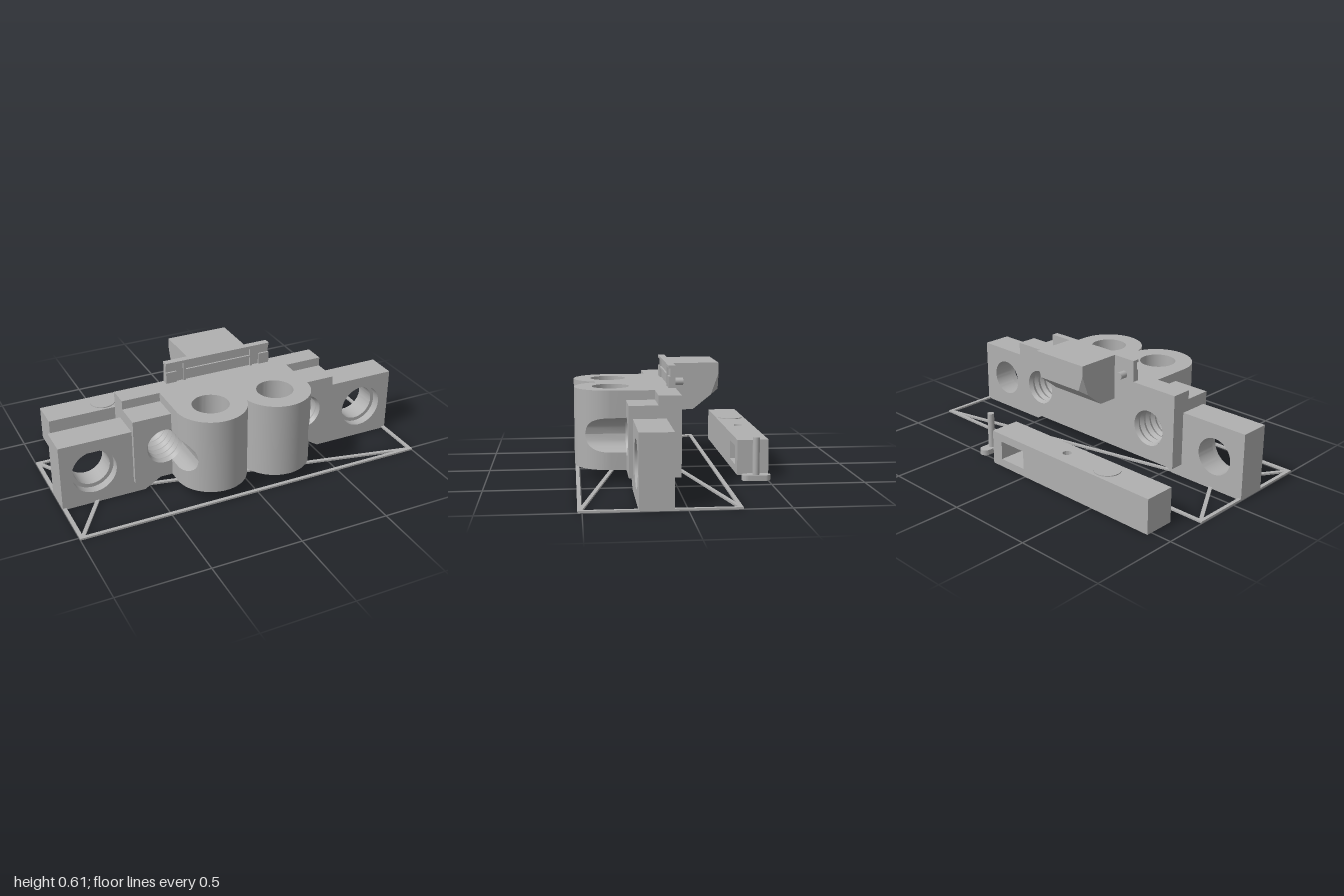
import * as THREE from 'three';
import { toCreasedNormals } from 'three/addons/utils/BufferGeometryUtils.js';
import { ConvexGeometry } from 'three/addons/geometries/ConvexGeometry.js';

const grey = new THREE.MeshStandardMaterial({ color: 0xb0b0b0, side: THREE.DoubleSide });
grey.name = 'plain grey';

export function createModel() {
  const model = new THREE.Group();
  const add = (name, geo, parent = model) => {
    const mesh = new THREE.Mesh(geo, grey);
    mesh.name = name;
    parent.add(mesh);
    return mesh;
  };
  const outline = (pts, circles = []) => {
    const s = new THREE.Shape(pts.map(([x, y]) => new THREE.Vector2(x, y)));
    for (const [x, y, r] of circles) s.holes.push(new THREE.Path().absarc(x, y, r, 0, Math.PI * 2, true));
    return s;
  };
  const extrude = (shape, depth) => toCreasedNormals(
    new THREE.ExtrudeGeometry(shape, { depth, bevelEnabled: false, curveSegments: 32 }), 0.5);
  // xy outline pushed from z0 to z1, and xz outline pushed from y0 to y1
  const alongZ = (shape, z0, z1) => extrude(shape, z1 - z0).translate(0, 0, z0);
  const alongY = (shape, y0, y1) => extrude(shape, y1 - y0).rotateX(Math.PI / 2).translate(0, y1, 0);
  const rect = (x0, y0, x1, y1) => [[x0, y0], [x1, y0], [x1, y1], [x0, y1]];
  const box = (x0, x1, y0, y1, z0, z1) => new THREE.BoxGeometry(x1 - x0, y1 - y0, z1 - z0)
    .translate((x0 + x1) / 2, (y0 + y1) / 2, (z0 + z1) / 2);

  // Body dimensions
  const back = -0.012, front = 0.257, low = 0.07, high = 0.492, step = 0.442;
  const cx = 0.19, cz = 0.33, R = 0.195, bore = 0.1;
  const sx = 0.425, sy = 0.255, sr = 0.1, inner = sx - sr, outer = cx + R;

  // Central body: twin barrels with vertical bores
  const a0 = Math.acos((inner - cx) / R), a1 = Math.acos(-cx / R), half = [];
  for (let i = 0; i <= 28; i++) {
    const a = a0 + (a1 - a0) * i / 28;
    half.push([cx + R * Math.cos(a), cz + R * Math.sin(a)]);
  }
  const mirrored = half.slice(0, -1).reverse().map(([x, z]) => [-x, z]);
  add('twinBarrelBody', alongY(outline(
    [[-inner, back], [inner, back], ...half, ...mirrored],
    [[-cx, cz, bore], [cx, cz, bore]]), low, high));

  // Barrel flank above or below the screw bore, lofted from quad sections
  const flank = (s, upper) => {
    const pos = [], idx = [], n = 20;
    for (let i = 0; i <= n; i++) {
      const a = a0 * (1 - i / n), x = cx + R * Math.cos(a), z = cz + R * Math.sin(a);
      const h = Math.sqrt(Math.max(0, sr * sr - (sx - x) ** 2));
      const [y0, y1] = upper ? [sy + h, high] : [low, sy - h];
      for (const [y, zz] of [[y0, front], [y0, z], [y1, z], [y1, front]]) pos.push(s * x, y, zz);
    }
    const quad = (a, b, c, d) => s > 0 ? idx.push(a, b, c, a, c, d) : idx.push(a, c, b, a, d, c);
    for (let i = 0; i < n; i++) for (let k = 0; k < 4; k++) {
      const p = i * 4 + k, q = i * 4 + (k + 1) % 4;
      quad(p, p + 4, q + 4, q);
    }
    quad(n * 4 + 3, n * 4 + 2, n * 4 + 1, n * 4);
    // Flip so the front of each face points outward
    for (let i = 0; i < idx.length; i += 3) [idx[i + 1], idx[i + 2]] = [idx[i + 2], idx[i + 1]];
    const g = new THREE.BufferGeometry();
    g.setAttribute('position', new THREE.Float32BufferAttribute(pos, 3));
    g.setIndex(idx);
    return toCreasedNormals(g, 0.5);
  };

  for (const [s, side] of [[1, 'left'], [-1, 'right']]) {
    const m = pts => pts.map(([x, y]) => [s * x, y]);
    // Stepped shoulders with a screw bore
    add(side + 'ShoulderBack', alongZ(outline(m(rect(inner, low, 0.6, high)), [[s * sx, sy, sr]]), back, 0.105));
    add(side + 'ShoulderFront', alongZ(outline(
      m([[inner, low], [0.6, low], [0.6, step], [outer, step], [outer, high], [inner, high]]),
      [[s * sx, sy, sr]]), 0.105, front));
    add(side + 'FlankUpper', flank(s, true));
    add(side + 'FlankLower', flank(s, false));

    // Thread ridges inside the screw bore
    const ridges = [];
    for (let i = 0; i <= 12; i++)
      ridges.push(new THREE.Vector2(i % 2 ? 0.088 : sr, back + (front - back) * i / 12));
    add(side + 'Thread', toCreasedNormals(new THREE.LatheGeometry(ridges, 40), 0.4)
      .rotateX(Math.PI / 2).translate(s * sx, sy, 0));

    // Side arm with ramped foot and counterbored hole
    const arm = m([[0.535, 0], [1, 0], [1, 0.375], [0.59, 0.375], [0.59, 0.08], [0.42, low]]);
    add(side + 'Arm', alongZ(outline(arm, [[s * 0.815, 0.19, 0.103]]), 0.065, 0.185));
    add(side + 'ArmFront', alongZ(outline(arm, [[s * 0.815, 0.19, 0.124]]), 0.185, 0.235));

    // Small round peg behind the sight plate
    add(side + 'Peg', new THREE.CylinderGeometry(0.02, 0.02, 0.05, 24)
      .rotateX(Math.PI / 2).translate(s * 0.247, 0.52, -0.033));

    // Raised end pieces and posts on the front plate
    add(side + 'PlateEnd', box(...(s > 0 ? [0.25, 0.312] : [-0.312, -0.25]), 0.49, 0.555, 0, 0.026));
    add(side + 'PlatePost', box(...(s > 0 ? [0.195, 0.21] : [-0.21, -0.195]), 0.49, 0.61, 0, 0.026));
  }

  // Upright plate with lips
  add('uprightPlate', box(-0.312, 0.312, 0.48, 0.612, back, 0.016));
  add('plateTopLip', box(-0.312, 0.312, 0.597, 0.612, 0, 0.026));
  add('plateRail', box(-0.2, 0.2, 0.545, 0.556, 0, 0.026));

  // Overhanging hood with clipped lower corners
  const hood = [];
  for (const s of [-1, 1]) {
    for (const [y, z] of [[0.612, 0], [0.357, 0], [0.357, -0.12], [0.437, -0.22], [0.553, -0.262], [0.612, -0.262]])
      hood.push(new THREE.Vector3(s * 0.175, y, z));
    hood.push(new THREE.Vector3(s * 0.145, 0.465, -0.262));
  }
  add('hood', new ConvexGeometry(hood));

  // Flat brim frame with bracing strips
  const brim = new THREE.Group();
  brim.name = 'baseFrame';
  model.add(brim);
  const t = 0.01;
  add('frameBack', box(-1, 1, 0, t, -0.262, -0.242), brim);
  add('frameFront', box(-1, 1, 0, t, 0.502, 0.522), brim);
  add('frameLeft', box(0.98, 1, 0, t, -0.262, 0.522), brim);
  add('frameRight', box(-1, -0.98, 0, t, -0.262, 0.522), brim);
  const braces = [[-0.985, -0.25, -0.78, 0.1], [-0.985, 0.51, -0.78, 0.19],
    [0.985, -0.25, -0.53, 0.08], [0.985, 0.51, -0.53, 0.195]];
  for (const [x0, z0, x1, z1] of braces) {
    add('brace', new THREE.BoxGeometry(Math.hypot(x1 - x0, z1 - z0), t, 0.02)
      .rotateY(-Math.atan2(z1 - z0, x1 - x0))
      .translate((x0 + x1) / 2, t / 2, (z0 + z1) / 2), brim);
  }

  // Separate bar with a side window, pin hole and round pad
  const bar = new THREE.Group();
  bar.name = 'bar';
  model.add(bar);
  const windowed = outline(rect(-0.1, 0, 0.255, 0.195));
  windowed.holes.push(new THREE.Path(rect(0.01, 0.045, 0.185, 0.15).reverse().map(p => new THREE.Vector2(...p))));
  add('barWindowEnd', alongZ(windowed, -0.53, -0.357), bar);
  add('barLongEnd', alongY(outline(rect(-0.88, -0.53, -0.1, -0.357), [[-0.24, -0.443, 0.024]]), 0, 0.195), bar);
  add('barPad', new THREE.CylinderGeometry(0.072, 0.072, 0.01, 48).translate(-0.53, 0.195, -0.443), bar);

  // Separate pin on a rounded foot
  const foot = new THREE.Shape();
  foot.absarc(0.381, -0.391, 0.031, 0, Math.PI, false);
  foot.absarc(0.381, -0.484, 0.031, Math.PI, Math.PI * 2, false);
  add('pinFoot', alongY(foot, 0, 0.03));
  add('pinShaft', new THREE.CylinderGeometry(0.019, 0.019, 0.21, 24).translate(0.381, 0.128, -0.437));

  return model;
}
